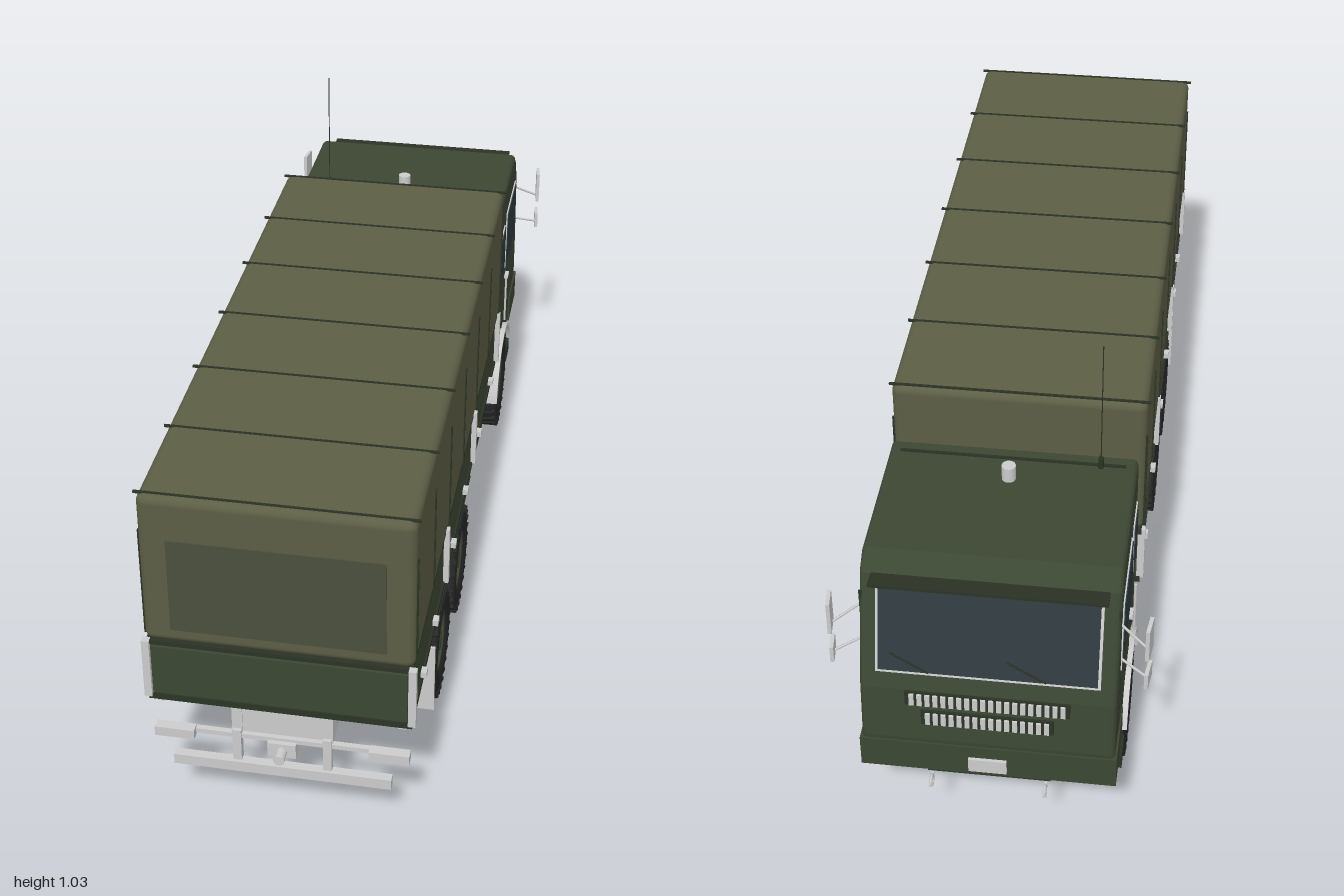
import * as THREE from 'three';
import { RoundedBoxGeometry } from 'three/addons/geometries/RoundedBoxGeometry.js';

const mat = (color, side = THREE.FrontSide) => new THREE.MeshStandardMaterial({ color, side });
const GREY = mat(0xcccccc), GREEN = mat(0x3c4733), DARK = mat(0x2b3325), CANVAS = mat(0x5c5e45);
const FLAP = mat(0x4b4f3d), RUBBER = mat(0x262626), GLASS = mat(0x2f3a3f);

function add(parent, name, geo, material, x = 0, y = 0, z = 0) {
  const m = new THREE.Mesh(geo, material);
  m.name = name;
  m.position.set(x, y, z);
  parent.add(m);
  return m;
}
// box given by its limits
function box(parent, name, material, x0, x1, y0, y1, z0, z1) {
  return add(parent, name, new THREE.BoxGeometry(x1 - x0, y1 - y0, z1 - z0), material,
    (x0 + x1) / 2, (y0 + y1) / 2, (z0 + z1) / 2);
}
// round bar between two points
function rod(parent, name, material, a, b, r, sides = 10) {
  const p = new THREE.Vector3(...a), q = new THREE.Vector3(...b), d = q.clone().sub(p);
  const m = add(parent, name, new THREE.CylinderGeometry(r, r, d.length(), sides), material);
  m.position.copy(p).lerp(q, 0.5);
  m.quaternion.setFromUnitVectors(new THREE.Vector3(0, 1, 0), d.normalize());
  return m;
}
// side outline drawn as (-z, y), extruded across x from x0 to x1
function sidePlate(parent, name, material, shape, x0, x1, bevel = 0) {
  const geo = new THREE.ExtrudeGeometry(shape, {
    depth: x1 - x0 - 2 * bevel, bevelEnabled: bevel > 0, bevelThickness: bevel, bevelSize: bevel,
    bevelOffset: -bevel, bevelSegments: 3, curveSegments: 20 });
  geo.translate(0, 0, x0 + bevel).rotateY(Math.PI / 2);
  return add(parent, name, geo, material);
}
const outline = (pts) => new THREE.Shape(pts.map((p) => new THREE.Vector2(...p)));

// wheel with its axis along x, outer face towards +x
function wheel(width = 0.088) {
  const g = new THREE.Group(), h = width / 2;
  g.name = 'wheel';
  const turn = (pts) => new THREE.LatheGeometry(pts.map(([r, x]) => new THREE.Vector2(r, x * h)), 40).rotateZ(-Math.PI / 2);
  add(g, 'tyre', turn([[0.07, -0.75], [0.08, -0.92], [0.1, -1], [0.117, -0.9], [0.123, -0.7], [0.124, 0],
    [0.123, 0.7], [0.117, 0.9], [0.1, 1], [0.08, 0.92], [0.07, 0.75]]), RUBBER);
  const rim = turn([[0, -0.3], [0.05, -0.3], [0.066, -0.8], [0.073, -0.82], [0.073, 0.82], [0.066, 0.8],
    [0.06, 0.4], [0.045, 0.35], [0.036, 0.6], [0.024, 0.62], [0.022, 0.85], [0, 0.88]]);
  add(g, 'rim', rim, new THREE.MeshStandardMaterial({ color: 0x3c4733, side: THREE.DoubleSide }));
  const lug = new THREE.BoxGeometry(h * 1.02, 0.012, 0.014);
  for (let i = 0; i < 28; i++) for (const s of [-1, 1]) {
    const pivot = new THREE.Group();
    pivot.rotation.x = ((i + (s > 0 ? 0.5 : 0)) / 28) * Math.PI * 2;
    add(pivot, 'treadLug', lug, RUBBER, s * h * 0.46, 0.1235, 0).rotation.y = s * 0.25;
    g.add(pivot);
  }
  const bolt = new THREE.CylinderGeometry(0.004, 0.004, 0.008, 6).rotateZ(Math.PI / 2);
  for (let i = 0; i < 8; i++) {
    const a = (i * Math.PI) / 4;
    add(g, 'wheelNut', bolt, GREY, h * 0.52, Math.cos(a) * 0.042, Math.sin(a) * 0.042);
  }
  return g;
}

function buildCab(root) {
  const cab = new THREE.Group();
  cab.name = 'cab';
  root.add(cab);
  // body shell with front wheel arch
  const s = outline([[0.505, 0.28], [0.505, 0.695], [0.52, 0.713], [0.855, 0.713], [0.895, 0.68], [0.965, 0.43],
    [0.977, 0.3], [0.972, 0.21], [0.79, 0.21]]);
  s.absarc(0.65, 0.13, 0.155, 0.55, Math.PI - 0.75, false);
  sidePlate(cab, 'cabShell', GREEN, s, -0.264, 0.264, 0.012);
  box(cab, 'bumper', GREEN, -0.268, 0.268, 0.212, 0.29, -0.98, -0.83);
  const visor = box(cab, 'sunVisor', DARK, -0.24, 0.24, 0.675, 0.682, -0.935, -0.87);
  visor.rotation.x = 0.12;
  box(cab, 'roofSeam', DARK, -0.24, 0.24, 0.712, 0.717, -0.552, -0.546);
  // windscreen on the raked front
  const screen = new THREE.Group();
  screen.name = 'windscreen';
  screen.position.set(0, 0.563, -0.929);
  screen.rotation.x = 0.273;
  cab.add(screen);
  box(screen, 'windscreenFrame', GREY, -0.23, 0.23, -0.098, 0.098, -0.003, 0.01);
  box(screen, 'windscreenGlass', GLASS, -0.224, 0.224, -0.092, 0.092, -0.005, 0.01);
  for (const x of [-0.12, 0.12]) rod(screen, 'wiper', DARK, [x, -0.09, -0.008], [x + 0.08, -0.05, -0.008], 0.002, 6);
  // two rows of grille slats
  for (const [y, z, n] of [[0.41, -0.967, 20], [0.362, -0.972, 16]]) {
    const w = n * 0.0082;
    box(cab, 'grilleRecess', DARK, -w - 0.006, w + 0.006, y - 0.019, y + 0.019, z - 0.003, z + 0.02);
    for (let i = 0; i < n; i++) {
      const x = -w + (i + 0.5) * 0.0164;
      box(cab, 'grilleSlat', GREY, x - 0.005, x + 0.005, y - 0.015, y + 0.015, z - 0.008, z);
    }
  }
  box(cab, 'frontPlate', GREY, -0.04, 0.04, 0.225, 0.26, -0.987, -0.97);
  const skid = box(cab, 'skidPlate', DARK, -0.13, 0.13, 0.172, 0.178, -0.97, -0.79);
  skid.rotation.x = 0.25;
  // parts on both sides
  for (const m of [-1, 1]) {
    const pair = (name, material, shape, x0, x1) =>
      sidePlate(cab, name, material, shape, Math.min(m * x0, m * x1), Math.max(m * x0, m * x1));
    const door = outline([[0.665, 0.47], [0.672, 0.63], [0.87, 0.63], [0.898, 0.47]]);
    const doorGlass = outline([[0.671, 0.476], [0.677, 0.624], [0.866, 0.624], [0.891, 0.476]]);
    pair('doorWindowFrame', GREY, door, 0.25, 0.267);
    pair('doorWindow', GLASS, doorGlass, 0.25, 0.269);
    box(cab, 'rearWindowFrame', GREY, m * 0.26 - 0.007, m * 0.26 + 0.007, 0.487, 0.617, -0.63, -0.543);
    box(cab, 'rearWindow', GLASS, m * 0.26 - 0.009, m * 0.26 + 0.009, 0.492, 0.612, -0.625, -0.548);
    for (const [z, y0, y1] of [[-0.648, 0.295, 0.66], [-0.905, 0.295, 0.64]])
      box(cab, 'doorSeam', DARK, m * 0.262 - 0.003, m * 0.262 + 0.003, y0, y1, z - 0.002, z + 0.002);
    box(cab, 'doorSill', DARK, m * 0.262 - 0.003, m * 0.262 + 0.003, 0.293, 0.297, -0.905, -0.648);
    box(cab, 'doorHandle', GREY, m * 0.268 - 0.006, m * 0.268 + 0.006, 0.43, 0.437, -0.71, -0.68);
    rod(cab, 'grabRail', GREY, [m * 0.274, 0.33, -0.632], [m * 0.274, 0.46, -0.632], 0.003, 6);
    // mirrors on angled arms
    for (const [y0, y1, ya] of [[0.555, 0.635, 0.6], [0.475, 0.515, 0.505]]) {
      const mirror = box(cab, 'mirror', GREY, m * 0.322 - 0.004, m * 0.322 + 0.004, y0, y1, -0.95, -0.905);
      mirror.rotation.y = m * 0.12;
      rod(cab, 'mirrorArm', GREY, [m * 0.26, ya, -0.895], [m * 0.32, y0 + 0.01, -0.925], 0.003, 6);
    }
    // fender strip over the front wheel
    const arch = new THREE.Shape();
    arch.absarc(0.65, 0.13, 0.157, 0.35, Math.PI - 0.1, false);
    arch.absarc(0.65, 0.13, 0.149, Math.PI - 0.1, 0.35, true);
    pair('fender', GREY, arch, 0.175, 0.276);
    box(cab, 'step', DARK, m * 0.225 - 0.045, m * 0.225 + 0.045, 0.11, 0.15, -0.84, -0.78);
    box(cab, 'stepHanger', DARK, m * 0.2 - 0.005, m * 0.2 + 0.005, 0.14, 0.22, -0.83, -0.8);
    const hook = add(cab, 'towHook', new THREE.TorusGeometry(0.013, 0.004, 6, 14, 5), GREY, m * 0.12, 0.178, -0.983);
    hook.rotation.y = Math.PI / 2;
    rod(cab, 'towHookShank', GREY, [m * 0.12, 0.18, -0.97], [m * 0.12, 0.21, -0.9], 0.004, 6);
  }
  // roof fittings
  rod(cab, 'beacon', GREY, [0, 0.71, -0.612], [0, 0.748, -0.612], 0.015, 16);
  rod(cab, 'antennaBase', DARK, [-0.187, 0.71, -0.555], [-0.187, 0.74, -0.555], 0.006);
  rod(cab, 'antenna', DARK, [-0.187, 0.74, -0.555], [-0.187, 1.028, -0.555], 0.0012, 6);
}

function buildBody(root) {
  const bed = new THREE.Group();
  bed.name = 'cargoBed';
  root.add(bed);
  box(bed, 'bedWalls', GREEN, -0.268, 0.268, 0.305, 0.452, -0.452, 0.975);
  box(bed, 'bedFloorRim', DARK, -0.272, 0.272, 0.302, 0.316, -0.457, 0.98);
  box(bed, 'bedTopRim', DARK, -0.272, 0.272, 0.445, 0.455, -0.457, 0.98);
  add(bed, 'canopy', new RoundedBoxGeometry(0.55, 0.352, 1.43, 4, 0.018), CANVAS, 0, 0.629, 0.262);
  box(bed, 'rearFlap', FLAP, -0.218, 0.218, 0.488, 0.708, 0.97, 0.98);
  box(bed, 'tailgatePanel', GREEN, -0.262, 0.262, 0.322, 0.442, 0.97, 0.983);
  // canopy hoops
  for (let i = 0; i < 7; i++) {
    const z = -0.44 + i * 0.2333;
    box(bed, 'roofRib', DARK, -0.281, 0.281, 0.802, 0.807, z - 0.0025, z + 0.0025);
    for (const m of [-1, 1]) box(bed, 'sideRib', DARK, m * 0.275 - 0.003, m * 0.275 + 0.003, 0.46, 0.715, z - 0.0025, z + 0.0025);
  }
  for (const m of [-1, 1]) {
    for (const z of [-0.445, 0.03, 0.503, 0.978])
      box(bed, 'stake', GREY, m * 0.272 - 0.008, m * 0.272 + 0.008, 0.312, 0.455, z - 0.008, z + 0.008);
    for (const z of [-0.32, -0.08, 0.17, 0.38, 0.66, 0.83])
      box(bed, 'latch', GREY, m * 0.272 - 0.008, m * 0.272 + 0.008, 0.318, 0.332, z - 0.01, z + 0.01);
    box(bed, 'bedRunner', GREY, m * 0.25 - 0.008, m * 0.25 + 0.008, 0.29, 0.303, -0.45, 0.97);
  }
  for (let i = 0; i < 8; i++) box(bed, 'floorBeam', GREY, -0.255, 0.255, 0.285, 0.305, -0.43 + i * 0.195, -0.41 + i * 0.195);
  // spare wheel behind the cab
  const spare = wheel(0.05);
  spare.name = 'spareWheel';
  spare.rotation.y = Math.PI / 2;
  spare.position.set(0, 0.42, -0.478);
  root.add(spare);
}

function buildChassis(root) {
  const ch = new THREE.Group();
  ch.name = 'chassis';
  root.add(ch);
  for (const m of [-1, 1]) {
    box(ch, 'frameRail', GREY, m * 0.095 - 0.011, m * 0.095 + 0.011, 0.22, 0.296, -0.9, 0.96);
    rod(ch, 'airTank', GREY, [m * 0.16, 0.2, -0.15], [m * 0.16, 0.2, 0.005], 0.023, 18);
    box(ch, 'airTankBracket', GREY, m * 0.13 - 0.03, m * 0.13 + 0.03, 0.222, 0.24, -0.08, -0.06);
    box(ch, 'mudFlap', GREY, m * 0.225 - 0.05, m * 0.225 + 0.05, 0.08, 0.255, 0.662, 0.668);
    box(ch, 'mudguard', DARK, m * 0.225 - 0.045, m * 0.225 + 0.045, 0.272, 0.278, 0.04, 0.62);
    // rear light bars
    box(ch, 'bumperHanger', GREY, m * 0.095 - 0.009, m * 0.095 + 0.009, 0.13, 0.23, 0.95, 0.968);
    box(ch, 'rearLight', GREY, m * 0.225 - 0.042, m * 0.225 + 0.042, 0.2, 0.223, 0.955, 0.978);
  }
  box(ch, 'lightBar', GREY, -0.25, 0.25, 0.206, 0.217, 0.95, 0.962);
  box(ch, 'rearBumper', GREY, -0.23, 0.23, 0.125, 0.15, 0.955, 0.975);
  rod(ch, 'hitch', GREY, [0, 0.19, 0.95], [0, 0.19, 1], 0.012, 12);
  box(ch, 'hitchPlate', GREY, -0.03, 0.03, 0.175, 0.21, 0.95, 0.972);
  for (const z of [-0.85, -0.45, -0.1, 0.335, 0.65, 0.945])
    box(ch, 'crossMember', GREY, -0.09, 0.09, 0.222, 0.285, z - 0.012, z + 0.012);
  // engine under the cab, fuel tank on the right, locker on the left
  box(ch, 'engine', DARK, -0.08, 0.08, 0.19, 0.3, -0.8, -0.5);
  rod(ch, 'fuelTank', GREEN, [-0.175, 0.207, -0.4], [-0.175, 0.207, -0.23], 0.062, 28);
  for (const z of [-0.365, -0.265]) rod(ch, 'tankStrap', GREY, [-0.175, 0.207, z - 0.005], [-0.175, 0.207, z + 0.005], 0.064, 28);
  box(ch, 'locker', GREEN, 0.11, 0.25, 0.147, 0.275, -0.39, -0.235);
  box(ch, 'lockerLid', DARK, 0.108, 0.253, 0.262, 0.278, -0.393, -0.232);
  // driveline
  rod(ch, 'frontShaft', GREY, [0, 0.14, -0.65], [0, 0.17, -0.2], 0.012);
  rod(ch, 'rearShaft', GREY, [0, 0.17, -0.2], [0, 0.14, 0.49], 0.012);
  box(ch, 'transferCase', GREY, -0.045, 0.045, 0.14, 0.24, -0.24, -0.14);
  rod(ch, 'sideRod', GREY, [0.14, 0.135, -0.6], [0.14, 0.135, 0.15], 0.007);
  for (const z of [-0.65, 0.18, 0.49]) {
    rod(ch, 'axle', GREY, [-0.21, 0.133, z], [0.21, 0.133, z], 0.018, 14);
    add(ch, 'differential', new THREE.SphereGeometry(0.05, 24, 16), GREY, 0, 0.133, z);
    for (const m of [-1, 1]) {
      box(ch, 'leafSpring', DARK, m * 0.12 - 0.012, m * 0.12 + 0.012, 0.155, 0.175, z - 0.11, z + 0.11);
      box(ch, 'springMount', GREY, m * 0.115 - 0.012, m * 0.115 + 0.012, 0.165, 0.23, z - 0.015, z + 0.015);
      const w = wheel();
      w.position.set(m * 0.227, 0.13, z);
      if (m < 0) w.rotation.y = Math.PI;
      root.add(w);
    }
  }
}

export function createModel() {
  const root = new THREE.Group();
  root.name = 'cargoTruck';
  buildCab(root);
  buildBody(root);
  buildChassis(root);
  return root;
}
